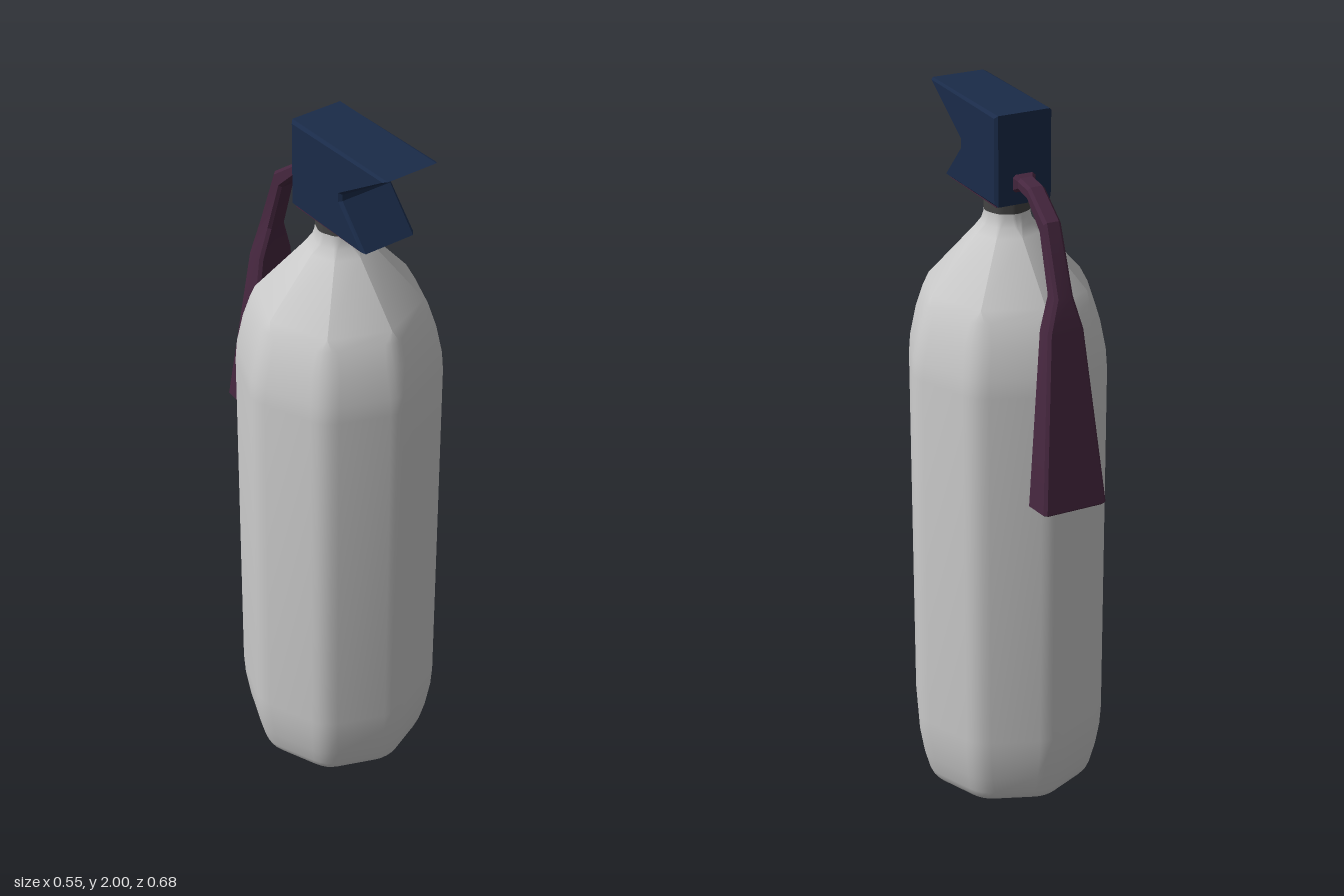
import * as THREE from 'three';
import { toCreasedNormals } from 'three/addons/utils/BufferGeometryUtils.js';

const mat = (color) => new THREE.MeshStandardMaterial({ color });
const V = (x, y, z) => new THREE.Vector3(x, y, z);

// Replace each corner of a closed polygon by a small curve of n segments.
function rounded(corners, cut, n) {
  const out = [];
  corners.forEach((c, i) => {
    const toward = (p) => p.clone().sub(c).setLength(cut).add(c);
    const a = toward(corners.at(i - 1));
    const b = toward(corners[(i + 1) % corners.length]);
    out.push(...new THREE.QuadraticBezierCurve3(a, c, b).getPoints(n));
  });
  return out;
}

// Skin a list of equal-sized rings (counter-clockwise about the travel direction) and cap both ends.
function loft(rings, crease) {
  const n = rings[0].length;
  const last = (rings.length - 1) * n;
  const index = [];
  for (let r = 0; r < rings.length - 1; r++) {
    for (let i = 0; i < n; i++) {
      const j = (i + 1) % n, a = r * n + i, b = r * n + j;
      index.push(a, b, b + n, a, b + n, a + n);
    }
  }
  for (let i = 1; i < n - 1; i++) {
    index.push(0, i + 1, i, last, last + i, last + i + 1);
  }
  const geo = new THREE.BufferGeometry().setFromPoints(rings.flat());
  geo.setIndex(index);
  return toCreasedNormals(geo, crease);
}

// Octagonal ring of radius r at height y, its corners softened by cut
function octagon([r, y, cut]) {
  const corners = Array.from({ length: 8 }, (_, k) => {
    const a = (k * Math.PI) / 4;
    return V(r * Math.cos(a), y, -r * Math.sin(a));
  });
  return rounded(corners, cut, 4);
}

export function createModel() {
  const group = new THREE.Group();
  const add = (name, geo, material, z = 0) => {
    const mesh = new THREE.Mesh(geo, material);
    mesh.name = name;
    mesh.position.z = z;
    group.add(mesh);
  };
  const navy = mat(0x1a2b49), plum = mat(0x46273f);
  const axisZ = 0.055;

  // Tank: rounded base, soft-cornered wall, sharp-edged shoulder cone, flared throat
  const tank = [
    [0.222, 0, 0.03], [0.236, 0.005, 0.035], [0.246, 0.016, 0.04], [0.254, 0.035, 0.04],
    [0.269, 0.09, 0.04], [0.281, 0.16, 0.04], [0.285, 0.22, 0.04],
    [0.285, 1.28, 0.04], [0.281, 1.33, 0.04], [0.264, 1.41, 0.04], [0.241, 1.475, 0.03],
    [0.222, 1.505, 0], [0.09, 1.655, 0],
    [0.073, 1.68, 0.012], [0.067, 1.7, 0.015], [0.066, 1.715, 0.015],
  ].map(octagon);
  add('tank', loft(tank, 0.52), mat(0xcccccc), axisZ);

  // Neck collar
  const neck = [[0.066, 1.705, 0.015], [0.066, 1.77, 0.015]].map(octagon);
  add('neck', loft(neck, 0.52), mat(0x444444), axisZ);

  // Valve head: side profile with an upper lever and a lower grip, extruded across x
  const profile = new THREE.Shape([
    [0.342, 2], [-0.042, 2], [-0.042, 1.755], [0.26, 1.755], [0.165, 1.862], [0.165, 1.88],
  ].map(([z, y]) => new THREE.Vector2(z, y)));
  const head = new THREE.ExtrudeGeometry(profile, {
    depth: 0.149, bevelEnabled: true, bevelThickness: 0.008, bevelSize: 0.008,
    bevelOffset: -0.008, bevelSegments: 1,
  });
  head.translate(0, 0, -0.0745);
  head.rotateY(-Math.PI / 2);
  add('valveHead', head, navy);

  // Underside plate of the valve head
  const plate = new THREE.BoxGeometry(0.149, 0.006, 0.27);
  plate.translate(0, 1.754, 0.105);
  add('headUnderside', plate, plum);

  // Hose and nozzle: [outer z, outer y, inner z, inner y, half width]
  const hose = [
    [-0.035, 1.84, -0.035, 1.785, 0.037],
    [-0.055, 1.83, -0.055, 1.795, 0.025],
    [-0.11, 1.822, -0.105, 1.785, 0.025],
    [-0.2, 1.755, -0.17, 1.72, 0.025],
    [-0.268, 1.57, -0.217, 1.57, 0.027],
    [-0.28, 1.48, -0.222, 1.48, 0.052],
    [-0.34, 1.0, -0.243, 0.99, 0.093],
    [-0.332, 0.993, -0.25, 0.985, 0.086],
  ].map(([oz, oy, iz, iy, w]) =>
    rounded([V(-w, iy, iz), V(-w, oy, oz), V(w, oy, oz), V(w, iy, iz)], 0.008, 1));
  add('hoseAndNozzle', loft(hose, 0.3), plum);

  return group;
}
